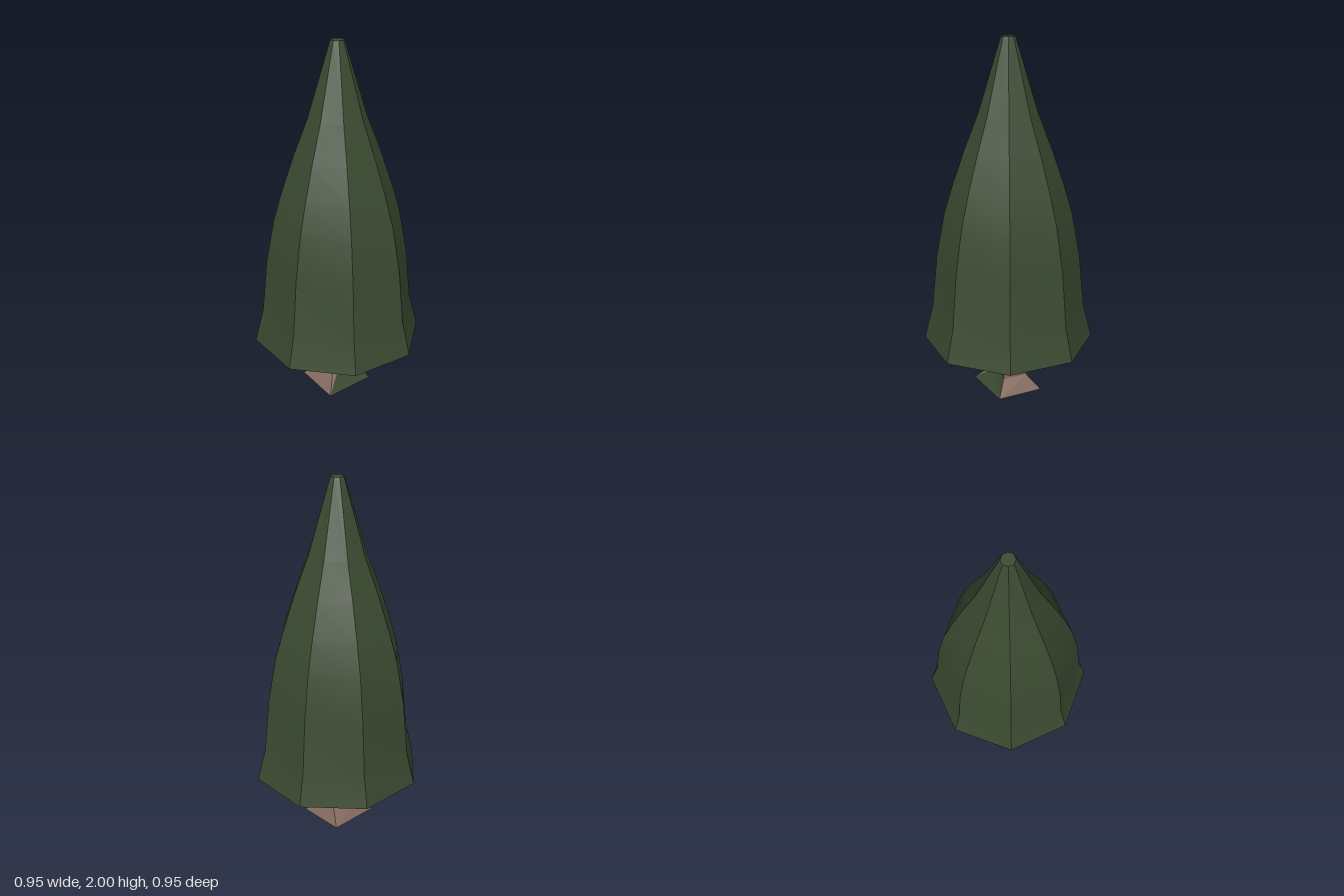
import * as THREE from 'three';
import { toCreasedNormals } from 'three/addons/utils/BufferGeometryUtils.js';

const green = new THREE.MeshStandardMaterial({ color: 0x3b4a31 });
green.name = 'pine green';
const brown = new THREE.MeshStandardMaterial({ color: 0x856b5e });
brown.name = 'bark brown';

function addMesh(group, name, geometry, material) {
  const mesh = new THREE.Mesh(geometry, material);
  mesh.name = name;
  group.add(mesh);
}

// Eight-sided crown: crisp upright edges, soft bends along its height
function crownGeometry() {
  const profile = [
    [0, 0.31], [0.473, 0.31], [0.425, 0.5], [0.395, 0.8], [0.35, 1.04], [0.3, 1.21],
    [0.235, 1.4], [0.158, 1.6], [0.042, 1.985], [0.036, 2], [0, 2],
  ].map(([r, y]) => new THREE.Vector2(r, y));
  return toCreasedNormals(new THREE.LatheGeometry(profile, 8), 0.55);
}

// Twisted four-sided trunk; corners run front, right, back, left as [x, z]
const foot = [[0.08, 0.195], [0.165, -0.09], [-0.08, -0.18], [-0.185, 0.08]];
const ankle = [[0.035, 0.105], [0.1, -0.06], [-0.03, -0.115], [-0.11, 0.05]];
const neck = [[0.01, 0.08], [0.07, -0.055], [-0.01, -0.09], [-0.08, 0.045]];
const barkHeights = [0.15, 0.115, 0.14, 0.185];

function ring(corners, y) {
  return corners.map(([x, z]) => new THREE.Vector3(x, y, z));
}

// Flat-shaded geometry from a list of triangles
function facets(triangles) {
  const geometry = new THREE.BufferGeometry().setFromPoints(triangles.flat());
  geometry.computeVertexNormals();
  return geometry;
}

function quad(a, b, c, d) {
  return [[a, b, c], [a, c, d]];
}

function addTrunk(group) {
  const base = ring(foot, 0);
  const mid = ring(ankle, 0.09);
  const top = ring(neck, 0.32);
  // Uneven line where the bark ends
  const line = mid.map((p, i) => p.clone().lerp(top[i], (barkHeights[i] - 0.09) / 0.23));
  const bark = [];
  const moss = [];

  for (let i = 0; i < 4; i++) {
    const j = (i + 1) % 4;
    moss.push(...quad(line[i], line[j], top[j], top[i]));
    if (i === 0) {
      // Green side with a sliver of bark beside its front edge
      const edge = mid[i].clone().lerp(mid[j], 0.2);
      bark.push([base[i], edge, mid[i]], [mid[i], edge, line[i]]);
      moss.push([base[i], base[j], edge], [base[j], mid[j], edge]);
      moss.push([edge, mid[j], line[j]], [edge, line[j], line[i]]);
    } else {
      bark.push(...quad(base[i], base[j], mid[j], mid[i]));
      bark.push(...quad(mid[i], mid[j], line[j], line[i]));
    }
  }
  // Underside
  bark.push(...quad(base[3], base[2], base[1], base[0]));

  addMesh(group, 'trunkBark', facets(bark), brown);
  addMesh(group, 'trunkGreen', facets(moss), green);
}

export function createModel() {
  const tree = new THREE.Group();
  tree.name = 'pineTree';
  addMesh(tree, 'crown', crownGeometry(), green);
  const trunk = new THREE.Group();
  trunk.name = 'trunk';
  addTrunk(trunk);
  tree.add(trunk);
  return tree;
}
